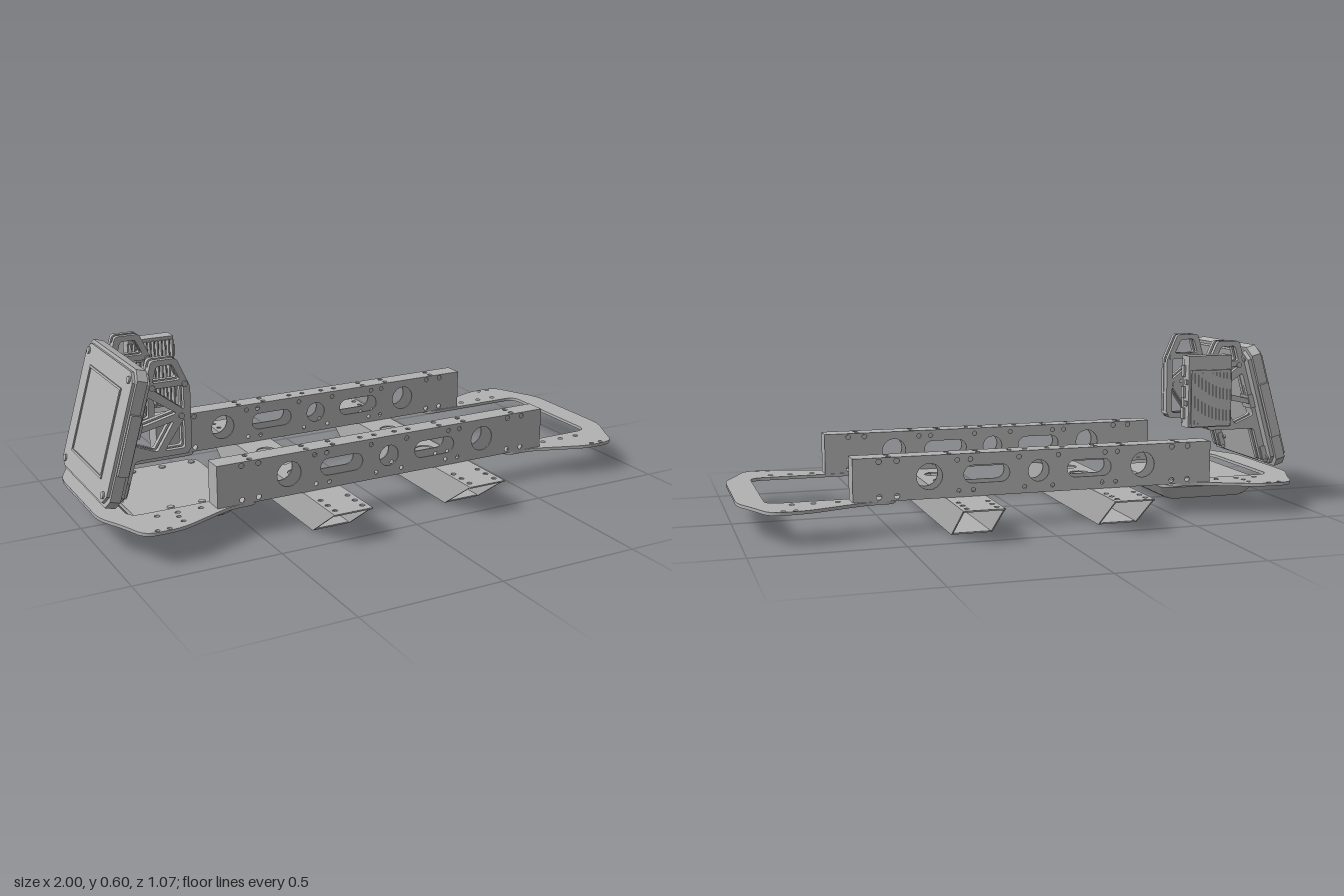
import * as THREE from 'three';
import { ConvexGeometry } from 'three/addons/geometries/ConvexGeometry.js';

const metal = new THREE.MeshStandardMaterial({ color: 0xb2b2b2 });
metal.name = 'plain grey metal';

// Closed outline with rounded corners
function roundPoly(pts, r = 0) {
  const v = pts.map(p => new THREE.Vector2(p[0], p[1]));
  if (!r) return new THREE.Shape(v);
  const s = new THREE.Shape();
  v.forEach((p, i) => {
    const a = v[(i + v.length - 1) % v.length], b = v[(i + 1) % v.length];
    const toward = q => p.clone().add(q.clone().sub(p).setLength(Math.min(r, p.distanceTo(q) * 0.48)));
    const s0 = toward(a), s1 = toward(b);
    if (i) s.lineTo(s0.x, s0.y); else s.moveTo(s0.x, s0.y);
    s.quadraticCurveTo(p.x, p.y, s1.x, s1.y);
  });
  s.closePath();
  return s;
}
const rect = (x0, y0, x1, y1, r) => roundPoly([[x0, y0], [x1, y0], [x1, y1], [x0, y1]], r);
const circle = (x, y, r) => new THREE.Shape().absarc(x, y, r, 0, Math.PI * 2, true);
function slot(x, y, len, r) {
  const h = len / 2 - r;
  return new THREE.Shape().absarc(x + h, y, r, -Math.PI / 2, Math.PI / 2)
    .absarc(x - h, y, r, Math.PI / 2, Math.PI * 1.5);
}

// Flat plate: 'xy' grows to +z, 'xz' grows to -y, 'zy' grows to -x
function slab(parent, name, shape, holes, t, plane, at) {
  shape.holes.push(...holes);
  const g = new THREE.ExtrudeGeometry(shape, { depth: t, bevelEnabled: false, curveSegments: 10 });
  if (plane === 'xz') g.rotateX(Math.PI / 2);
  if (plane === 'zy') g.rotateY(-Math.PI / 2);
  return add(parent, name, g, plane === 'xy' ? [0, 0, at] : plane === 'xz' ? [0, at, 0] : [at, 0, 0]);
}
function add(parent, name, geo, pos = [0, 0, 0]) {
  const m = new THREE.Mesh(geo, metal);
  m.name = name;
  m.position.set(...pos);
  parent.add(m);
  return m;
}
const box = (parent, name, w, h, d, x, y, z) => add(parent, name, new THREE.BoxGeometry(w, h, d), [x, y, z]);
function group(parent, name) {
  const g = new THREE.Group();
  g.name = name;
  parent.add(g);
  return g;
}

const T = 0.005;

// Long hollow rail with lightening holes and closed ends
function buildRail(parent, side) {
  const rail = group(parent, side > 0 ? 'frontRail' : 'backRail');
  const [z0, z1] = side > 0 ? [0.24, 0.311] : [-0.311, -0.24];
  const X = 0.637, y0 = 0.11, y1 = 0.256, zc = (z0 + z1) / 2;
  const sideHoles = () => {
    const h = [circle(0, 0.185, 0.037)];
    for (const s of [-1, 1]) {
      h.push(circle(s * 0.38, 0.185, 0.044), slot(s * 0.183, 0.185, 0.16, 0.03));
      for (const x of [0.49, 0.55]) for (const y of [0.125, 0.243]) h.push(circle(s * x, y, 0.009));
      for (const x of [0.07, 0.24, 0.285]) h.push(circle(s * x, 0.236, 0.008));
      for (const x of [0.05, 0.23, 0.28]) h.push(circle(s * x, 0.132, 0.007));
    }
    return h;
  };
  const topHoles = () => {
    const h = [];
    for (const s of [-1, 1]) {
      for (const x of [0.04, 0.095]) h.push(circle(s * x, zc, 0.009));
      for (const x of [0.21, 0.31, 0.515]) for (const d of [-0.018, 0.018]) h.push(circle(s * x, zc + d, 0.009));
    }
    return h;
  };
  slab(rail, 'railOuterWall', rect(-X, y0, X, y1), sideHoles(), T, 'xy', z1 - T);
  slab(rail, 'railInnerWall', rect(-X, y0, X, y1), sideHoles(), T, 'xy', z0);
  slab(rail, 'railTop', rect(-X, z0, X, z1), topHoles(), T, 'xz', y1);
  slab(rail, 'railBottom', rect(-X, z0, X, z1), topHoles(), T, 'xz', y0 + T);
  for (const s of [-1, 1]) box(rail, 'railEnd', T, y1 - y0, z1 - z0, s * (X - T / 2), (y0 + y1) / 2, zc);
}

// Open square tube across the rails, ends cut at a slant
function buildCrossTube(parent, xc) {
  const tube = group(parent, 'crossTube');
  const w = 0.07, Z = 0.535, B = 0.38, H = 0.11;
  const bigHoles = () => [-0.128, 0, 0.128].map(z => circle(xc, z, 0.035));
  const top = bigHoles();
  for (const z of [0.5, 0.45, 0.4, 0.29, 0.26]) for (const s of [-1, 1]) for (const d of [-0.05, 0.05])
    top.push(circle(xc + d, s * z, 0.009));
  slab(tube, 'tubeTop', rect(xc - w, -Z, xc + w, Z), top, T, 'xz', H);
  slab(tube, 'tubeBottom', rect(xc - w, -B, xc + w, B), bigHoles(), T, 'xz', T);
  for (const x of [xc - w + T, xc + w]) {
    const holes = [-0.19, -0.064, 0.064, 0.19].map(z => circle(z, 0.057, 0.032));
    holes.push(circle(-0.036, 0.018, 0.007), circle(0.036, 0.018, 0.007));
    slab(tube, 'tubeSide', roundPoly([[-B, 0], [B, 0], [Z, H], [-Z, H]]), holes, T, 'zy', x);
  }
}

// U-shaped end plate under the rail ends
function buildEndPlate(parent, s) {
  const zo = s > 0 ? 0.385 : 0.4, xo = s > 0 ? 0.8 : 0.79;
  const half = [[0.49, 0.311], [0.59, 0.311], [xo, zo], [0.915, zo], [0.95, 0.3], [1, 0.2]];
  const inner = [[0.49, 0.236], [0.91, 0.236]];
  const pts = [...half, ...half.map(([x, z]) => [x, -z]).reverse(),
    ...inner.map(([x, z]) => [x, -z]), ...inner.slice().reverse()];
  const holes = [];
  for (const q of [-1, 1]) {
    for (const x of [0.68, 0.76, 0.83]) holes.push(circle(s * x, q * 0.275, 0.009));
    for (const x of [0.83, 0.87]) holes.push(circle(s * x, q * (zo - 0.014), 0.008));
    if (s < 0) for (const z of [0.31, 0.35]) holes.push(circle(-0.77, q * z, 0.008));
  }
  const shape = roundPoly(pts.map(([x, z]) => [s * x, z]), 0.045);
  slab(parent, s > 0 ? 'leftEndPlate' : 'rightEndPlate', shape, holes, 0.011, 'xz', 0.111);
}

// Tapered flat unit hung inside the right end plate
function buildTray(parent) {
  const tray = group(parent, 'underTray');
  const pts = [];
  for (const [y, inset] of [[0.093, 0], [0.078, 0], [0.036, 0.03], [0.028, 0.042]])
    for (const p of rect(-0.88 + inset, -0.22 + inset, -0.5 - inset, 0.22 - inset, 0.04).getPoints(4))
      pts.push(new THREE.Vector3(p.x, y, p.y));
  add(tray, 'trayBody', new ConvexGeometry(pts));
  for (const x of [-0.53, -0.64, -0.75]) for (const z of [-0.185, 0.185])
    add(tray, 'trayScrew', new THREE.CylinderGeometry(0.012, 0.012, 0.006, 12), [x, 0.095, z]);
  for (const z of [-0.13, 0.13])
    add(tray, 'trayFoot', new THREE.CylinderGeometry(0.01, 0.01, 0.004, 12), [-0.69, 0.0275, z]);
}

// Tilted display facing the right end
function buildDisplay(parent) {
  const d = group(parent, 'display');
  d.position.set(-0.897, 0.358, 0);
  d.rotation.z = -16 * Math.PI / 180;
  const W = 0.242, H = 0.228;
  const panel = (name, w, h, c, x0, x1) => slab(d, name, roundPoly([[-w, -h + c], [-w + c, -h], [w - c, -h],
    [w, -h + c], [w, h - c], [w - c, h], [-w + c, h], [-w, h - c]]), [], x1 - x0, 'zy', x1);
  panel('displayBack', W - 0.012, H - 0.012, 0.03, 0.015, 0.029);
  panel('displayCase', W, H, 0.03, -0.02, 0.015);
  panel('displayBezel', W - 0.012, H - 0.012, 0.03, -0.03, -0.02);
  slab(d, 'screenBorder', rect(-0.155, -0.15, 0.155, 0.15), [rect(-0.147, -0.142, 0.147, 0.142)], 0.004, 'zy', -0.03);
  for (const z of [-1, 1]) {
    box(d, 'displaySideGrip', 0.035, 0.2, 0.016, 0, -0.01, z * 0.247);
    for (const y of [-0.19, 0.19]) {
      const s = add(d, 'cornerScrew', new THREE.CylinderGeometry(0.012, 0.012, 0.07, 12), [-0.001, y, z * 0.2]);
      s.rotation.z = Math.PI / 2;
    }
    for (const y of [-0.16, 0.15]) {
      const b = add(d, 'rearBolt', new THREE.CylinderGeometry(0.006, 0.006, 0.01, 10), [0.031, y, z * 0.125]);
      b.rotation.z = Math.PI / 2;
    }
    // Strip and clamps behind the display
    box(d, 'mountStrip', 0.014, 0.44, 0.05, 0.036, 0.012, z * 0.172);
    for (const y of [-0.17, 0.03]) box(d, 'mountClamp', 0.02, 0.05, 0.062, 0.038, y, z * 0.172);
  }
}

// Truss brackets, two plates each
function buildBracket(parent, side) {
  const b = group(parent, side > 0 ? 'frontBracket' : 'backBracket');
  const outline = [[-0.925, 0.155], [-0.9, 0.155], [-0.865, 0.275], [-0.685, 0.275], [-0.672, 0.3],
    [-0.672, 0.5], [-0.715, 0.597], [-0.8, 0.597]];
  const holes = () => [
    [[-0.798, 0.525], [-0.705, 0.525], [-0.73, 0.578], [-0.783, 0.578]],
    [[-0.8, 0.505], [-0.695, 0.505], [-0.695, 0.425]],
    [[-0.815, 0.48], [-0.842, 0.385], [-0.72, 0.415]],
    [[-0.85, 0.365], [-0.862, 0.325], [-0.79, 0.295], [-0.73, 0.39]],
    [[-0.765, 0.295], [-0.695, 0.295], [-0.695, 0.395]],
  ].map(p => roundPoly(p, 0.01));
  for (const z of [0.147, 0.179]) slab(b, 'trussPlate', roundPoly(outline, 0.012), holes(), 0.018, 'xy', side > 0 ? z : -z - 0.018);
  box(b, 'trussFoot', 0.16, 0.012, 0.05, -0.765, 0.283, side * 0.172);
  box(b, 'trussSpine', 0.012, 0.2, 0.05, -0.68, 0.39, side * 0.172);
  for (const [x, y] of [[-0.69, 0.51], [-0.8, 0.51], [-0.705, 0.405]]) {
    const pin = add(b, 'trussPin', new THREE.CylinderGeometry(0.01, 0.01, 0.06, 12), [x, y, side * 0.172]);
    pin.rotation.x = Math.PI / 2;
  }
}

// Finned electronics box beside the display
function buildFinnedBox(parent) {
  const f = group(parent, 'finnedBox');
  box(f, 'boxBody', 0.165, 0.25, 0.045, -0.645, 0.428, -0.261);
  box(f, 'boxRearCover', 0.15, 0.2, 0.012, -0.645, 0.405, -0.288);
  for (let i = 0; i < 12; i++) {
    const x = -0.72 + i * 0.0137;
    box(f, 'coolingFin', 0.005, 0.235, 0.022, x, 0.428, -0.228);
    box(f, 'rearRib', 0.004, 0.18, 0.003, x, 0.405, -0.2945);
  }
  for (const y of [0.35, 0.425, 0.5]) box(f, 'port', 0.01, 0.04, 0.02, -0.56, y, -0.246);
  for (const y of [0.387, 0.462]) box(f, 'smallPort', 0.008, 0.018, 0.015, -0.561, y, -0.268);
  for (const y of [0.308, 0.548]) box(f, 'boxFlange', 0.165, 0.014, 0.055, -0.645, y, -0.256);
  box(f, 'boxArm', 0.03, 0.03, 0.04, -0.7, 0.5, -0.21);
}

export function createModel() {
  const model = new THREE.Group();
  model.name = 'equipmentFrame';
  for (const s of [-1, 1]) {
    buildRail(model, s);
    buildCrossTube(model, s < 0 ? -0.26 : 0.256);
    buildEndPlate(model, s);
    buildBracket(model, s);
  }
  buildTray(model);
  buildDisplay(model);
  buildFinnedBox(model);
  return model;
}
